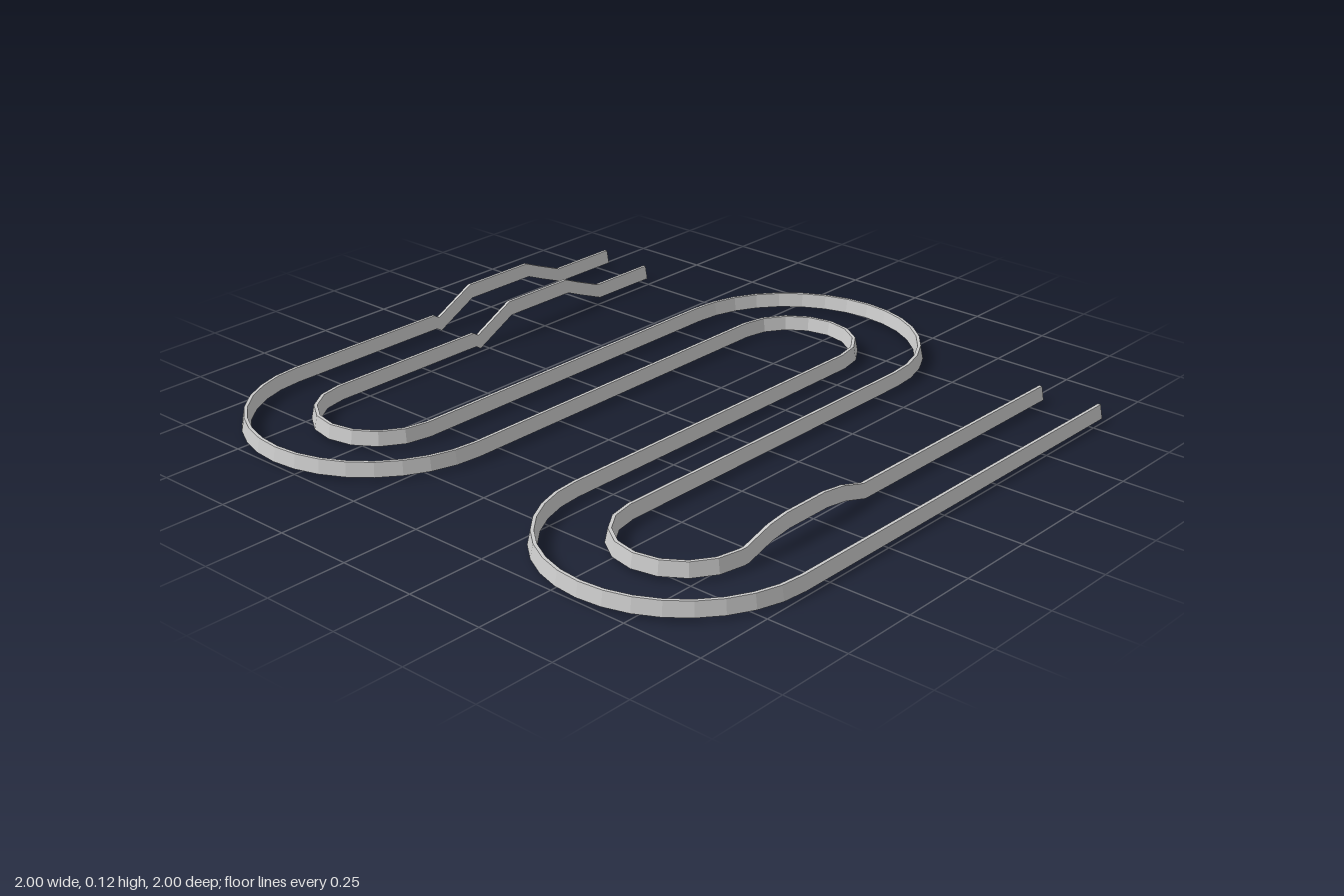
import * as THREE from 'three';

const Y0 = 0.012;
// trapezoid rail section: [sideways, up], counter-clockwise
const SECTION = [[-0.0135, 0], [0.0135, 0], [0.005, 0.043], [-0.005, 0.043]];

// Sweep the upright section along a path, mitred at each point
function sweepRail(name, path) {
  const dir = (a, b) => new THREE.Vector2(b.x - a.x, b.z - a.z).normalize();
  const pos = [], idx = [], m = SECTION.length;
  path.forEach((p, i) => {
    const before = dir(path[Math.max(i - 1, 0)], path[Math.max(i, 1)]);
    const after = i < path.length - 1 ? dir(p, path[i + 1]) : before;
    const d = before.clone().add(after).normalize();
    const k = 1 / d.dot(after);
    for (const [s, h] of SECTION) pos.push(p.x + d.y * s * k, p.y + h, p.z - d.x * s * k);
    if (i === 0) return;
    const a = (i - 1) * m, b = i * m;
    for (let j = 0; j < m; j++) {
      const n = (j + 1) % m;
      idx.push(a + j, a + n, b + n, a + j, b + n, b + j);
    }
  });
  // end caps
  const e = (path.length - 1) * m;
  idx.push(0, 2, 1, 0, 3, 2, e, e + 1, e + 2, e, e + 2, e + 3);
  const geo = new THREE.BufferGeometry();
  geo.setAttribute('position', new THREE.Float32BufferAttribute(pos, 3));
  geo.setIndex(idx);
  geo.computeVertexNormals();
  const mesh = new THREE.Mesh(geo, new THREE.MeshStandardMaterial({ color: 0xcccccc, flatShading: true }));
  mesh.name = name;
  return mesh;
}

const point = (x, z, lift = 0) => new THREE.Vector3(x, Y0 + lift, z);

// Half circle from +z to -z, bulging towards the given side
function bend(cx, cz, r, side, segments) {
  return Array.from({ length: segments + 1 }, (_, i) => {
    const t = Math.PI * i / segments;
    return point(cx + side * r * Math.sin(t), cz + r * Math.cos(t));
  });
}

// Raised stretch of straight rail: list of [x, lift]
const hump = (z, profile, shift = 0) => profile.map(([x, lift]) => point(x + shift, z, lift));

const LOW_HUMP = [[-0.08, 0], [-0.17, 0.026], [-0.25, 0.037], [-0.41, 0.037], [-0.48, 0.028], [-0.575, 0]];
const HIGH_HUMP = [[-0.02, 0], [0, -0.012], [0.14, 0.06], [0.4, 0.06], [0.455, 0.037], [0.55, 0]];

export function createModel() {
  const group = new THREE.Group();
  group.name = 'windingTrack';
  const C = 0.592, ZC = 0.588, R = 0.396, r = 0.194;

  // rail that is outermost at the front and back
  group.add(sweepRail('outerRail', [
    point(0.8, ZC + R),
    ...bend(-C, ZC, R, -1, 16),
    ...bend(C, 0, r, 1, 8),
    ...bend(-C, -ZC, R, -1, 16),
    ...hump(-ZC - R, HIGH_HUMP),
    point(0.79, -ZC - R),
  ]));

  // companion rail, one track width further in
  group.add(sweepRail('innerRail', [
    point(0.8, ZC + r),
    ...hump(ZC + r, LOW_HUMP),
    ...bend(-C, ZC, r, -1, 8),
    ...bend(C, 0, R, 1, 16),
    ...bend(-C, -ZC, r, -1, 8),
    ...hump(-ZC - r, HIGH_HUMP, -0.02),
    point(0.765, -ZC - r),
  ]));
  return group;
}
